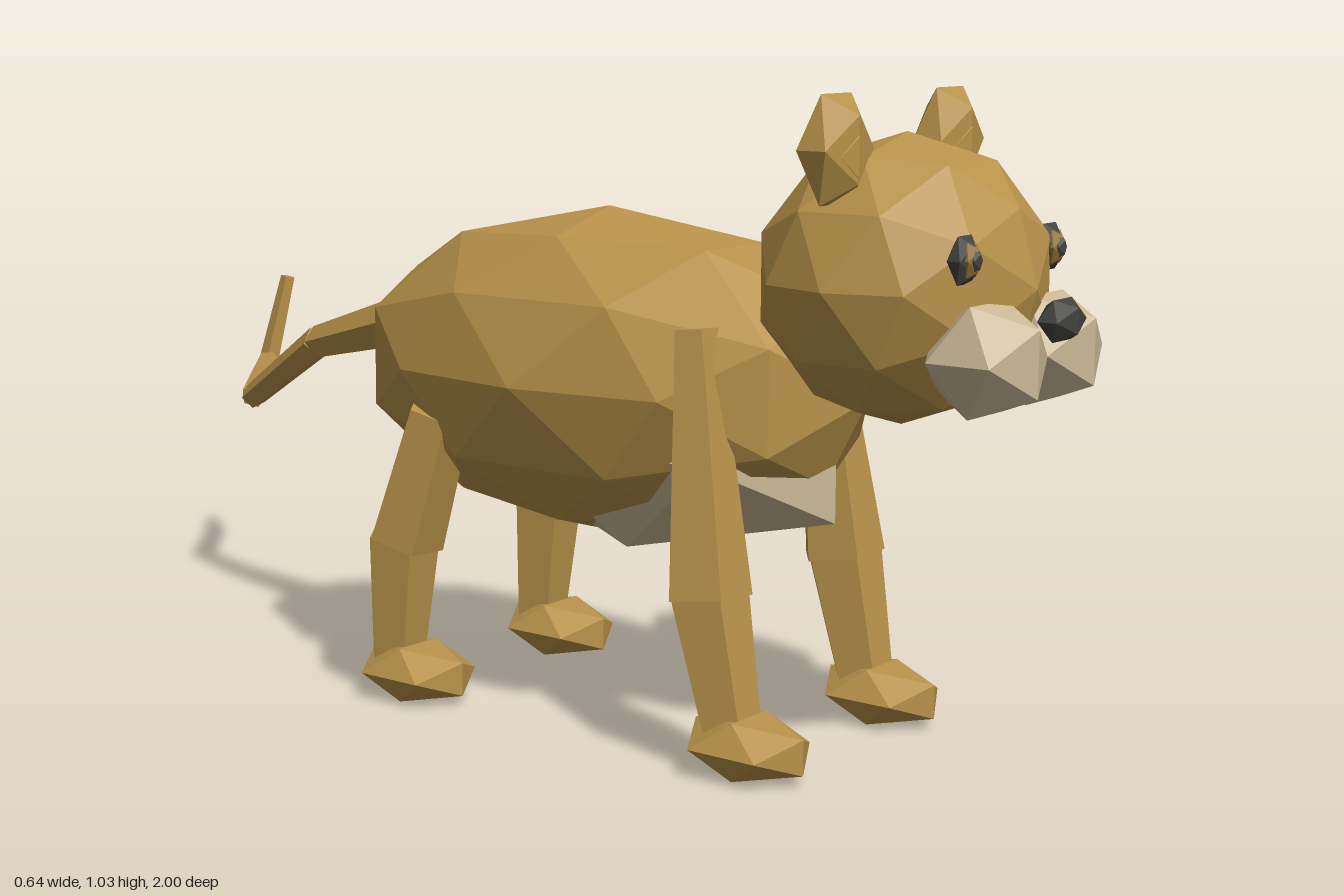
import * as THREE from 'three';

const flat = (name, color) => {
  const m = new THREE.MeshStandardMaterial({ color, flatShading: true });
  m.name = name;
  return m;
};

export function createModel() {
  const fur = flat('tawny fur', 0xb8924a);
  const cream = flat('cream fur', 0xc9b996);
  const dark = flat('dark grey', 0x42433f);
  const amber = flat('amber iris', 0x96753a);

  const model = new THREE.Group();
  model.name = 'bigCat';
  // The animal is symmetric about this group's x = 0; only the tail swings out
  const cat = new THREE.Group();
  cat.name = 'cat';
  cat.position.x = -0.055;
  model.add(cat);

  // Faceted ellipsoid
  const blob = (name, mat, pos, radii, detail = 0) => {
    const mesh = new THREE.Mesh(new THREE.IcosahedronGeometry(1, detail), mat);
    mesh.name = name;
    mesh.position.set(...pos);
    mesh.scale.set(...radii);
    cat.add(mesh);
  };

  // Five-sided tapered limb from a (radius ra) to b (radius rb), flat face forward
  const up = new THREE.Vector3(0, 1, 0);
  const limb = (name, a, b, ra, rb) => {
    const start = new THREE.Vector3(...a), end = new THREE.Vector3(...b);
    const dir = start.clone().sub(end);
    const geo = new THREE.CylinderGeometry(ra, rb, dir.length(), 5, 1, false, Math.PI);
    const mesh = new THREE.Mesh(geo, fur);
    mesh.name = name;
    mesh.position.copy(start).add(end).multiplyScalar(0.5);
    mesh.quaternion.setFromUnitVectors(up, dir.normalize());
    cat.add(mesh);
  };

  // Trunk, head and centre-line parts
  blob('body', fur, [0, 0.56, 0.155], [0.26, 0.27, 0.5], 1);
  blob('chestPatch', cream, [0, 0.46, 0.28], [0.215, 0.19, 0.375]);
  blob('head', fur, [0, 0.75, 0.713], [0.23, 0.22, 0.222], 1);
  blob('nose', dark, [0, 0.71, 0.975], [0.053, 0.036, 0.03]);

  for (const [side, s] of [['left', 1], ['right', -1]]) {
    // Face
    blob(side + 'Cheek', cream, [s * 0.085, 0.655, 0.903], [0.1, 0.095, 0.097]);
    blob(side + 'Ear', fur, [s * 0.16, 0.95, 0.69], [0.076, 0.094, 0.047]);
    blob(side + 'InnerEar', fur, [s * 0.16, 0.94, 0.707], [0.042, 0.056, 0.028]);
    blob(side + 'Eye', dark, [s * 0.125, 0.8, 0.885], [0.036, 0.041, 0.02]);
    blob(side + 'Iris', amber, [s * 0.125, 0.8, 0.896], [0.024, 0.029, 0.014]);
    blob(side + 'Pupil', dark, [s * 0.125, 0.8, 0.902], [0.015, 0.02, 0.011]);

    // Front leg
    limb(side + 'FrontUpperLeg', [s * 0.17, 0.67, 0.45], [s * 0.19, 0.265, 0.492], 0.036, 0.07);
    limb(side + 'FrontLowerLeg', [s * 0.19, 0.275, 0.49], [s * 0.19, 0.05, 0.54], 0.066, 0.048);
    blob(side + 'FrontPaw', fur, [s * 0.19, 0.045, 0.573], [0.088, 0.053, 0.116]);

    // Rear leg
    limb(side + 'RearUpperLeg', [s * 0.18, 0.49, -0.06], [s * 0.19, 0.265, -0.13], 0.055, 0.066);
    limb(side + 'RearLowerLeg', [s * 0.19, 0.275, -0.135], [s * 0.19, 0.05, -0.15], 0.063, 0.045);
    blob(side + 'RearPaw', fur, [s * 0.19, 0.045, -0.102], [0.088, 0.053, 0.116]);
  }

  // Tail: chained tapering segments, x, y, z and radius at each joint
  const tail = [
    [0.005, 0.605, -0.29, 0.047],
    [0.077, 0.53, -0.59, 0.031],
    [0.18, 0.385, -0.875, 0.025],
    [0.33, 0.435, -0.98, 0.021],
    [0.356, 0.602, -0.95, 0.015],
  ];
  for (let i = 0; i < tail.length - 1; i++) {
    const a = tail[i], b = tail[i + 1];
    limb('tailSegment' + (i + 1), a.slice(0, 3), b.slice(0, 3), a[3], b[3]);
  }
  return model;
}
